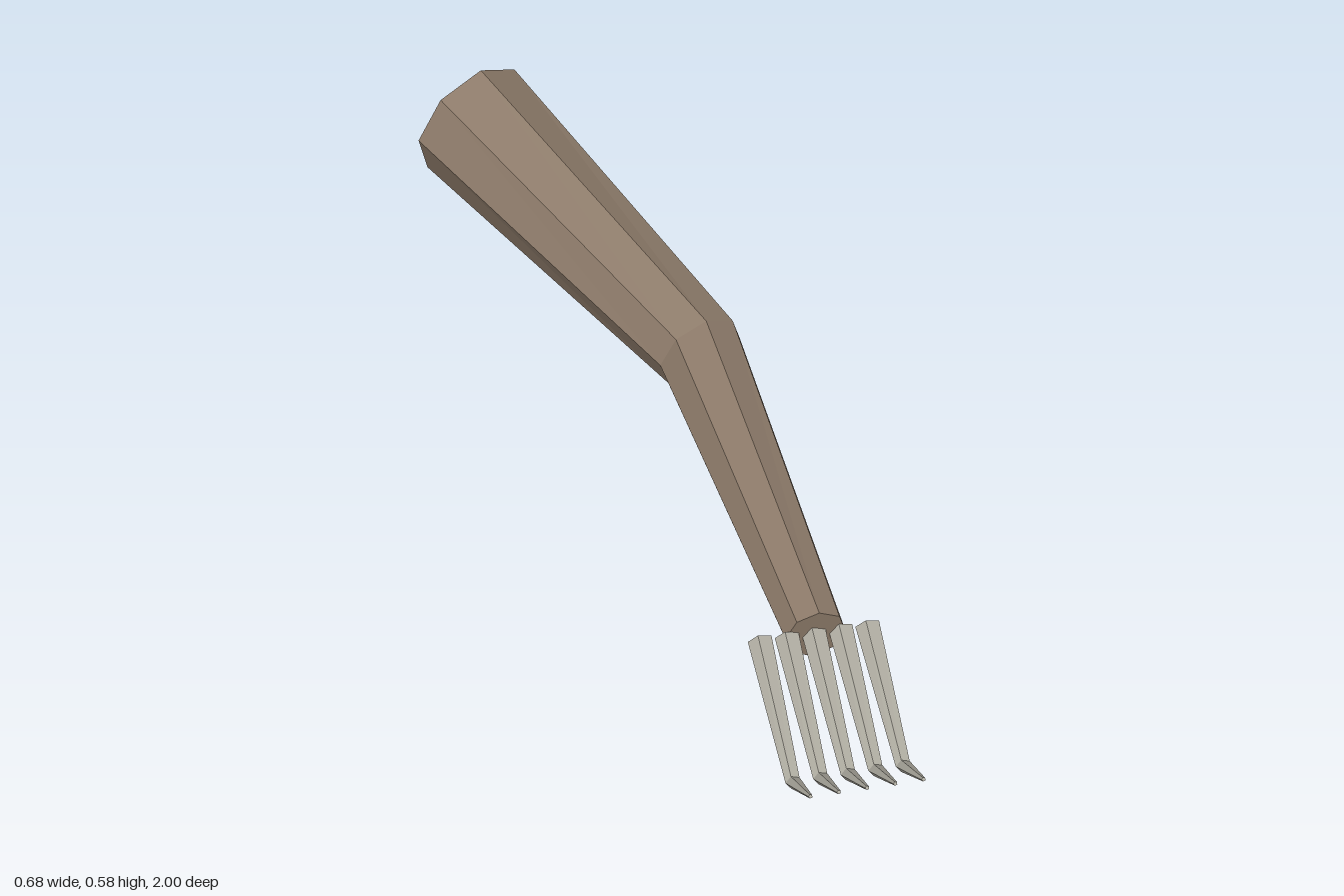
import * as THREE from 'three';

// Closed faceted loft through rings of { c: centre, u: side radius vector, v: upward radius vector },
// listed from the front end to the back end
function loft(rings, sides) {
  const pos = [];
  const pts = rings.map(({ c, u, v }) => {
    const ring = [];
    for (let k = 0; k < sides; k++) {
      const t = (k / sides) * Math.PI * 2;
      ring.push([0, 1, 2].map((i) => c[i] + u[i] * Math.cos(t) + v[i] * Math.sin(t)));
    }
    return ring;
  });
  const tri = (a, b, c) => pos.push(...a, ...b, ...c);
  const last = rings.length - 1;
  for (let r = 0; r < last; r++) {
    for (let k = 0; k < sides; k++) {
      const n = (k + 1) % sides;
      tri(pts[r][k], pts[r][n], pts[r + 1][n]);
      tri(pts[r][k], pts[r + 1][n], pts[r + 1][k]);
    }
  }
  // end caps
  for (let k = 1; k < sides - 1; k++) {
    tri(pts[0][0], pts[0][k + 1], pts[0][k]);
    tri(pts[last][0], pts[last][k], pts[last][k + 1]);
  }
  const geo = new THREE.BufferGeometry();
  geo.setAttribute('position', new THREE.Float32BufferAttribute(pos, 3));
  geo.computeVertexNormals();
  return geo;
}

export function createModel() {
  const brown = new THREE.MeshStandardMaterial({ name: 'brown hide', color: 0x8c7a69, flatShading: true });
  const grey = new THREE.MeshStandardMaterial({ name: 'pale claw grey', color: 0xb2afa4, flatShading: true });
  const model = new THREE.Group();
  model.name = 'clawedArm';

  // octagonal arm: wrist, elbow, shoulder
  const arm = new THREE.Mesh(loft([
    { c: [0.213, 0.132, 0.614], u: [-0.06, 0, 0], v: [0.004, 0.059, 0.005] },
    { c: [0.175, 0.21, -0.235], u: [-0.095, 0, 0.03], v: [0.007, 0.095, 0.02] },
    { c: [-0.211, 0.439, -0.92], u: [-0.13, 0, 0.071], v: [0.0225, 0.145, 0.038] },
  ], 8), brown);
  arm.name = 'arm';
  model.add(arm);

  // one bent, tapering claw, shared by all five: tip, knuckle, root
  const clawSection = (y, z, r, tilt) => ({
    c: [0, y, z],
    u: [-r, 0, 0],
    v: [0, r * Math.cos(tilt), r * Math.sin(tilt)],
  });
  const clawGeo = loft([
    clawSection(0.093, 0.998, 0.004, -0.58),
    clawSection(0.0145, 0.88, 0.015, -0.08),
    clawSection(0.131, 0.607, 0.025, 0.41),
  ], 5);
  const claws = new THREE.Group();
  claws.name = 'claws';
  for (let i = 0; i < 5; i++) {
    const claw = new THREE.Mesh(clawGeo, grey);
    claw.name = `claw${i + 1}`;
    claw.position.x = 0.105 + i * 0.0537;
    claws.add(claw);
  }
  model.add(claws);
  return model;
}
